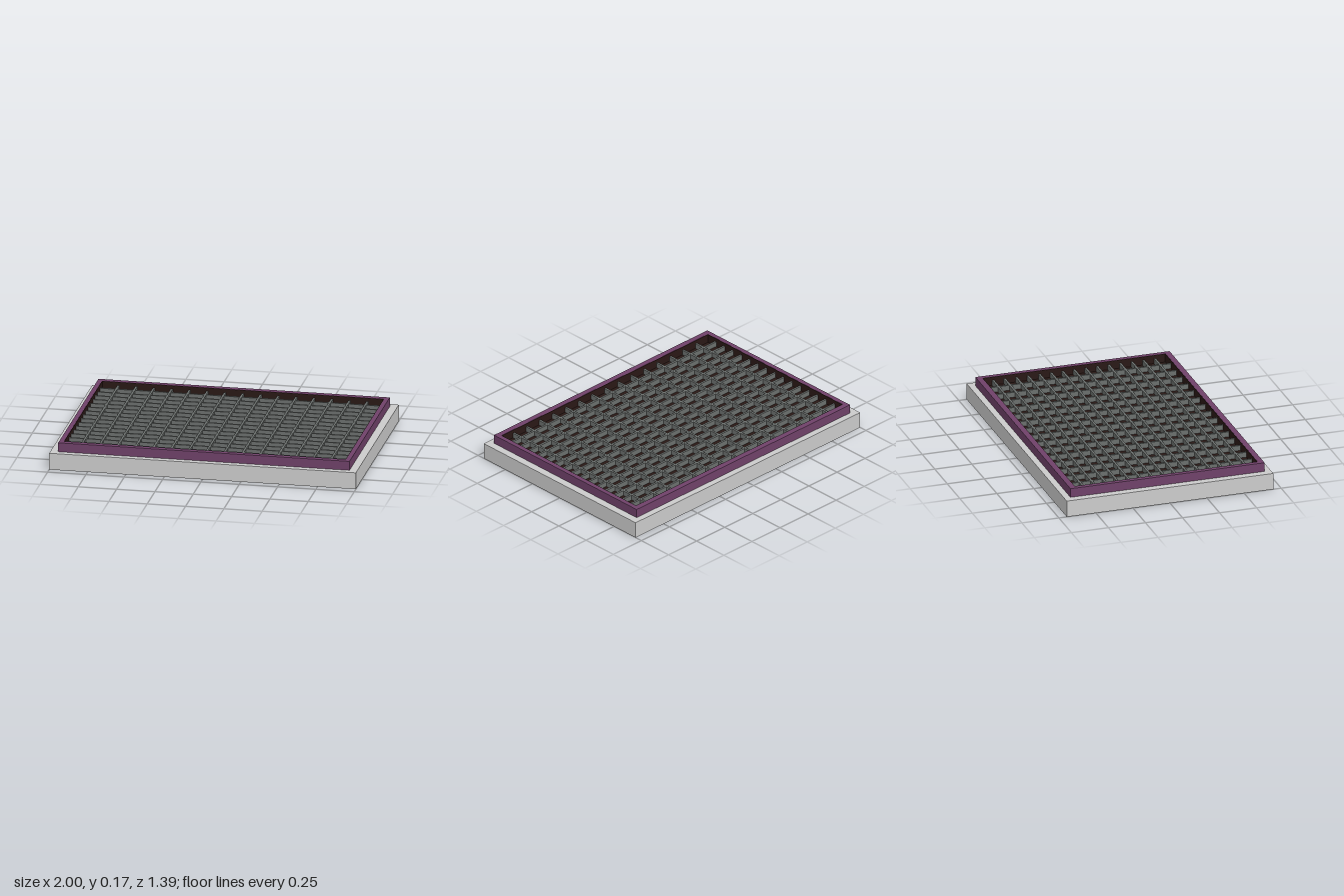
import * as THREE from 'three';

const BASE_TOP = 0.11, RIM_TOP = 0.17, GRID_TOP = 0.147;
const INNER_X = 0.92, INNER_Z = 0.618;

function box(name, w, h, d, x, y, z, material) {
  const mesh = new THREE.Mesh(new THREE.BoxGeometry(w, h, d), material);
  mesh.name = name;
  mesh.position.set(x, y + h / 2, z);
  return mesh;
}

// Rectangular ring standing on y, with half sizes outside and inside
function ring(name, ox, oz, ix, iz, y, h, material) {
  const rect = (P, x, z) => {
    const p = new P();
    p.moveTo(-x, -z).lineTo(x, -z).lineTo(x, z).lineTo(-x, z).closePath();
    return p;
  };
  const shape = rect(THREE.Shape, ox, oz);
  shape.holes.push(rect(THREE.Path, ix, iz));
  const geometry = new THREE.ExtrudeGeometry(shape, { depth: h, bevelEnabled: false });
  geometry.rotateX(-Math.PI / 2);
  const mesh = new THREE.Mesh(geometry, material);
  mesh.name = name;
  mesh.position.y = y;
  return mesh;
}

export function createModel() {
  const grey = new THREE.MeshStandardMaterial({ color: 0xcccccc });
  const purple = new THREE.MeshStandardMaterial({ color: 0x6f4169 });
  const dark = new THREE.MeshStandardMaterial({ color: 0x291815 });
  const barGrey = new THREE.MeshStandardMaterial({ color: 0x6b6f6d });

  const model = new THREE.Group();
  model.name = 'griddedTray';

  // Slab, raised rim and dark recess
  model.add(box('base', 2, BASE_TOP, 1.394, 0, 0, 0, grey));
  model.add(ring('rim', 0.95, 0.655, INNER_X, INNER_Z, BASE_TOP, RIM_TOP - BASE_TOP, purple));
  model.add(ring('recessLining', INNER_X, INNER_Z, INNER_X - 0.003, INNER_Z - 0.003,
    BASE_TOP, RIM_TOP - BASE_TOP - 0.001, dark));
  model.add(box('recessFloor', INNER_X * 2, 0.003, INNER_Z * 2, 0, BASE_TOP, 0, dark));

  // Crossing bars that divide the recess into 16 by 16 cells
  const grid = new THREE.Group();
  grid.name = 'grid';
  const thick = 0.014, height = GRID_TOP - BASE_TOP;
  for (let i = -7; i <= 7; i++) {
    grid.add(box('lengthwiseBar', INNER_X * 2, height, thick, 0, BASE_TOP, i * 0.078, barGrey));
    grid.add(box('crosswiseBar', thick, height, INNER_Z * 2, i * 0.116, BASE_TOP, 0, barGrey));
  }
  model.add(grid);
  return model;
}
